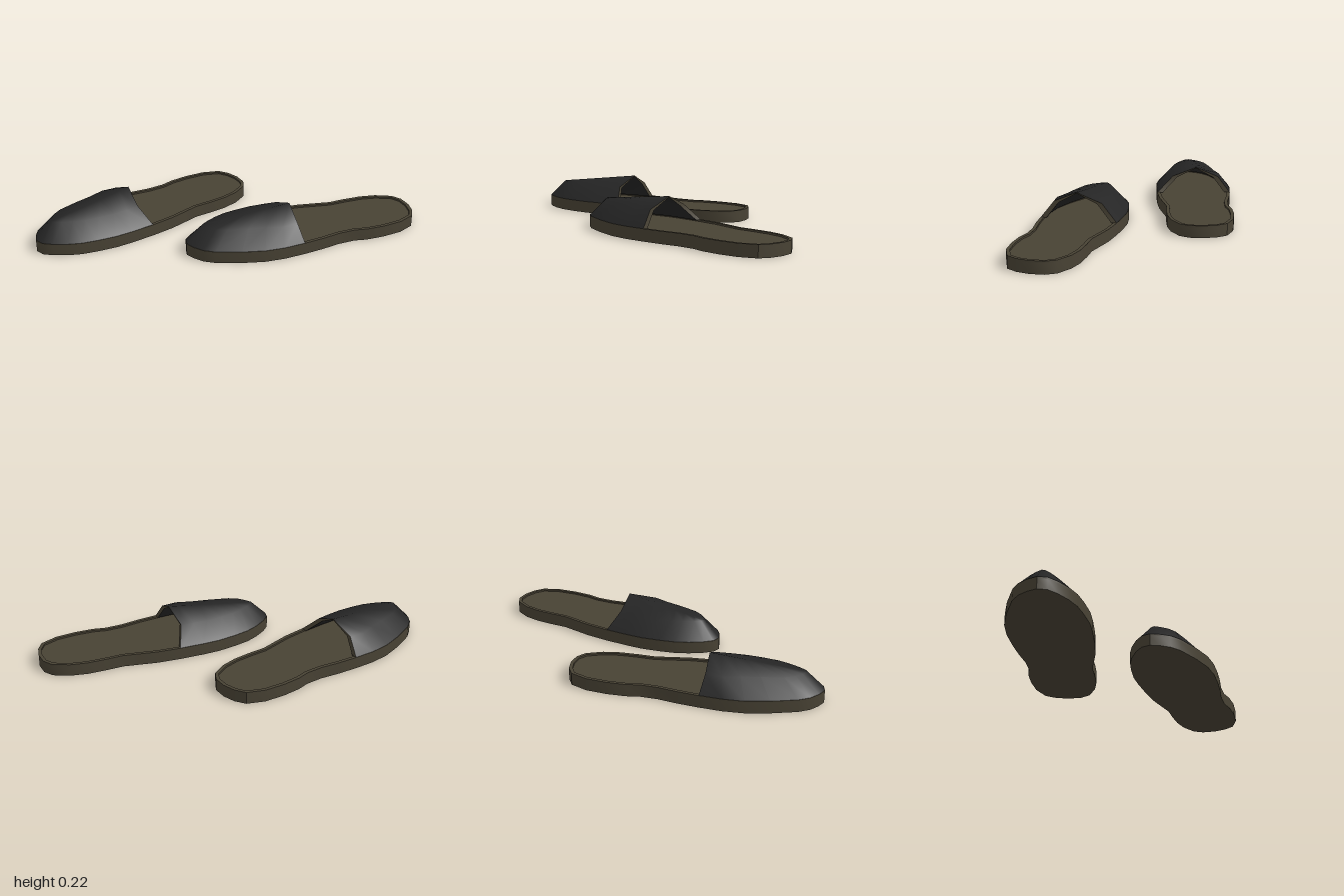
import * as THREE from 'three';
import { mergeVertices, toCreasedNormals } from 'three/addons/utils/BufferGeometryUtils.js';

const SOLE_TOP = 0.07, BED = 0.06;

// toe outline [x, z], from the outer corner of the opening round the toe to the inner corner
const TOE = [
  [-0.78, -0.04], [-0.86, 0.06], [-0.92, 0.16], [-0.965, 0.285], [-1, 0.43], [-1, 0.5], [-0.98, 0.56], [-0.95, 0.61],
  [-0.9, 0.63], [-0.84, 0.62], [-0.76, 0.59], [-0.69, 0.55], [-0.62, 0.49], [-0.54, 0.41], [-0.48, 0.33], [-0.4, 0.21],
];
// heel outline, on from the inner corner back to the outer one
const HEEL = [
  [-0.33, 0.09], [-0.29, 0], [-0.25, -0.09], [-0.19, -0.17], [-0.13, -0.26], [-0.09, -0.35], [-0.075, -0.45],
  [-0.1, -0.51], [-0.16, -0.56], [-0.23, -0.59], [-0.3, -0.595], [-0.39, -0.54], [-0.47, -0.45], [-0.53, -0.36],
  [-0.56, -0.29], [-0.62, -0.21], [-0.7, -0.13],
];
const OUTLINE = [...TOE, ...HEEL];

// the second shoe is the first one reflected and turned about the opening corner
const PHI = THREE.MathUtils.degToRad(263.7);
const keep = (x, z) => [x, z];
const mirror = (x, z) => {
  const dx = x + 0.78, dz = z + 0.04, c = Math.cos(PHI), s = Math.sin(PHI);
  return [0.495 + c * dx + s * dz, 0.11 + s * dx - c * dz];
};

// moves a closed outline inwards by d
function inset(points, d) {
  const n = points.length;
  return points.map(([x, z], i) => {
    const a = points[(i + n - 1) % n], b = points[(i + 1) % n];
    const tx = b[0] - a[0], tz = b[1] - a[1], len = Math.hypot(tx, tz);
    return [x + (tz / len) * d, z - (tx / len) * d];
  });
}

// flat slab between two heights, with an optional hole
function slab(points, y0, y1, hole) {
  const vectors = (list) => list.map(([x, z]) => new THREE.Vector2(x, z));
  const shape = new THREE.Shape(vectors(points));
  if (hole) shape.holes.push(new THREE.Path(vectors(hole)));
  const geometry = new THREE.ExtrudeGeometry(shape, { depth: y1 - y0, bevelEnabled: false });
  geometry.rotateX(Math.PI / 2).translate(0, y1, 0);
  return toCreasedNormals(geometry, 0.6);
}

// smooth surface over rows of [x, y, z] points
function skin(rows, place, flip) {
  const n = rows[0].length, positions = [], index = [];
  for (const row of rows) {
    for (const [x, y, z] of row) {
      const [px, pz] = place(x, z);
      positions.push(px, y, pz);
    }
  }
  for (let r = 0; r < rows.length - 1; r++) {
    for (let i = 0; i < n - 1; i++) {
      const a = r * n + i, b = a + 1, c = a + n, d = c + 1;
      if (flip) index.push(a, c, b, b, c, d);
      else index.push(a, b, c, b, d, c);
    }
  }
  let geometry = new THREE.BufferGeometry();
  geometry.setAttribute('position', new THREE.Float32BufferAttribute(positions, 3));
  geometry.setIndex(index);
  geometry = mergeVertices(geometry, 1e-4);
  geometry.computeVertexNormals();
  return geometry;
}

// rows of the upper: sole edge, shoulder and centre ridge, thinned inwards by t
function upperRows(t) {
  const last = TOE.length - 1, edge = [], shoulder = [], ridge = [];
  TOE.forEach(([x, z], i) => {
    const k = Math.min(i, last - i) / 7;
    const rx = -0.61 - 0.24 * k, rz = 0.09 + 0.39 * k;
    const len = Math.hypot(rx - x, rz - z);
    const toward = (d, y) => [x + ((rx - x) / len) * d, y, z + ((rz - z) / len) * d];
    edge.push(toward(t, SOLE_TOP - 0.002));
    const s = toward((i < 2 ? 0.075 : 0.1) + t * 0.8, 0.165 - t * 0.2);
    // the mouth is cut back slightly at the shoulders
    const cut = i === 0 ? 0.015 : i === last ? 0.035 : 0;
    s[0] -= 0.55 * cut;
    s[2] += 0.83 * cut;
    shoulder.push(s);
    ridge.push([rx, 0.225 - 0.053 * k - t * 0.15, rz]);
  });
  return [edge, shoulder, ridge];
}

// points round the mouth of the upper
function mouth([edge, shoulder, ridge]) {
  return [edge[0], shoulder[0], ridge[0], shoulder.at(-1), edge.at(-1)];
}

function makeShoe(name, place, flip, materials) {
  const shoe = new THREE.Group();
  shoe.name = name;
  const add = (part, geometry, material) => {
    const mesh = new THREE.Mesh(geometry, material);
    mesh.name = part;
    shoe.add(mesh);
  };
  const put = (points) => points.map(([x, z]) => place(x, z));
  const outer = put(OUTLINE), inner = put(inset(OUTLINE, 0.02));

  // sole with a raised rim round the footbed
  add('sole', slab(outer, 0, BED), materials.sole);
  add('soleRim', slab(outer, BED, SOLE_TOP, inner), materials.sole);

  // closed toe, its inside, and the thick edge of the mouth
  const outside = upperRows(0), inside = upperRows(0.035);
  add('upper', skin(outside, place, flip), materials.upper);
  add('upperInside', skin(inside, place, !flip), materials.upper);
  add('mouthEdge', skin([mouth(outside), mouth(inside)], place, flip), materials.edge);
  return shoe;
}

export function createModel() {
  const model = new THREE.Group();
  model.name = 'slippers';
  const sole = new THREE.MeshStandardMaterial({ color: 0x484234 });
  sole.name = 'olive brown';
  sole.side = THREE.DoubleSide;
  const upper = new THREE.MeshStandardMaterial({ color: 0x252525 });
  upper.name = 'black';
  upper.side = THREE.DoubleSide;
  const materials = { sole, upper, edge: sole };
  model.add(makeShoe('rightSlipper', keep, false, materials));
  model.add(makeShoe('leftSlipper', mirror, true, materials));
  return model;
}
